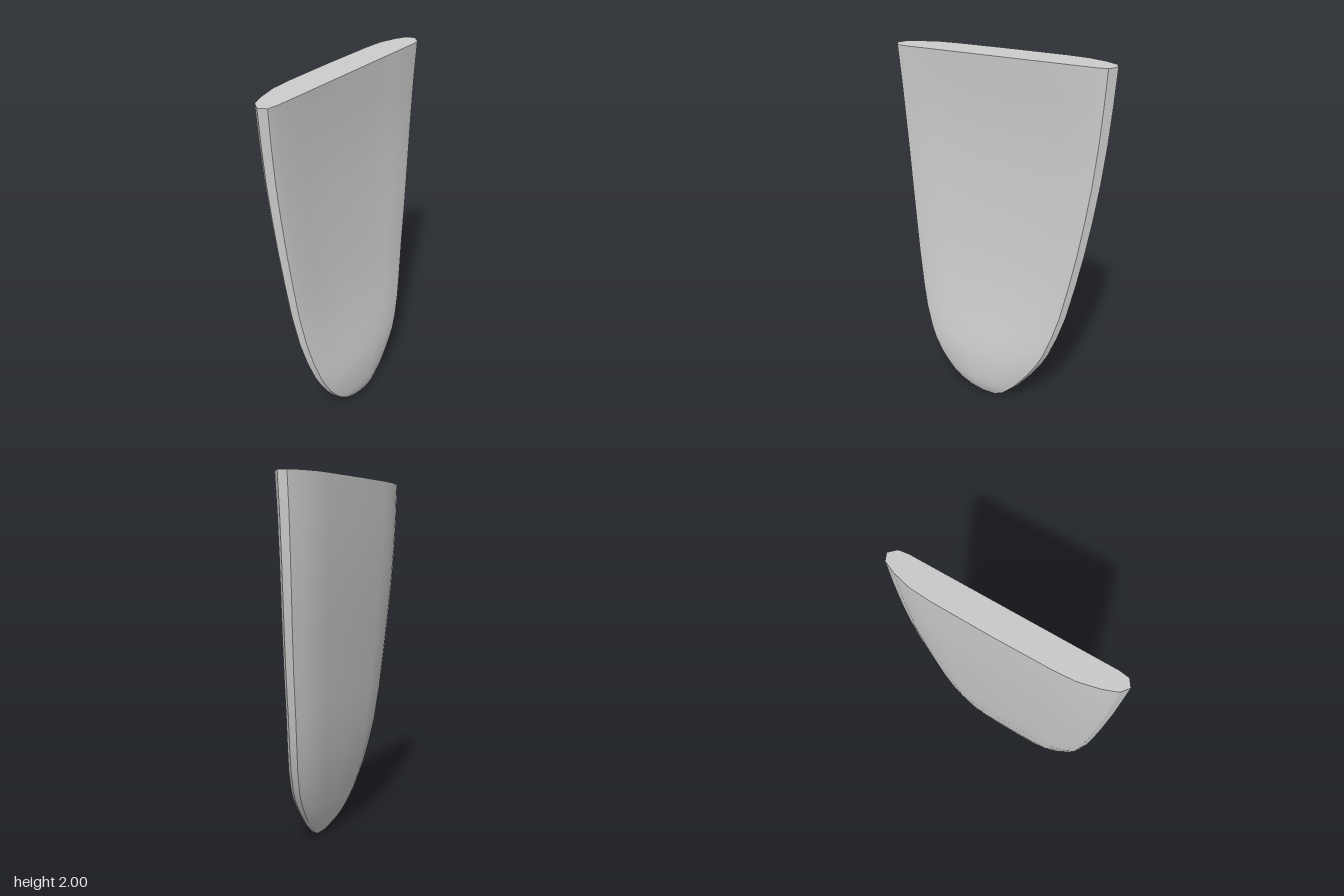
import * as THREE from 'three';
import { toCreasedNormals } from 'three/addons/utils/BufferGeometryUtils.js';

// Levels from top to tip: y, z centre, half depth, x of flat face, thickness,
// swell of the face's middle (negative is dished)
const LEVELS = [
  [2.0, 0, 0.615, 0.027, 0.154, 0],
  [1.8, 0, 0.602, 0.023, 0.148, -0.006],
  [1.6, 0, 0.587, 0.024, 0.142, -0.011],
  [1.4, 0, 0.568, 0.03, 0.138, -0.013],
  [1.2, 0.002, 0.546, 0.04, 0.133, -0.013],
  [1.0, 0.005, 0.52, 0.052, 0.129, -0.011],
  [0.8, 0.01, 0.49, 0.066, 0.128, -0.007],
  [0.6, 0.012, 0.453, 0.086, 0.128, 0],
  [0.47, 0.014, 0.419, 0.104, 0.124, 0.006],
  [0.35, 0.015, 0.377, 0.119, 0.117, 0.012],
  [0.28, 0.017, 0.343, 0.127, 0.107, 0.016],
  [0.2, 0.02, 0.292, 0.131, 0.093, 0.018],
  [0.15, 0.02, 0.253, 0.132, 0.079, 0.017],
  [0.1, 0.018, 0.21, 0.132, 0.061, 0.016],
  [0.055, 0.014, 0.157, 0.131, 0.039, 0.014],
  [0.022, 0, 0.104, 0.129, 0.017, 0.004],
  [0, -0.015, 0.04, 0.125, 0.003, 0],
];
const YAW = 0.113; // sideways drift of each section along its depth

// Half of the D-shaped section: [depth, distance behind the flat face]
const HALF = [[0.865, 0], [0.95, 0.05], [1, 0.3], [0.96, 0.57], [0.85, 0.76], [0.68, 0.93], [0.5, 0.98]];
const SECTION = [
  ...HALF, [0, 1],
  ...HALF.map(([u, v]) => [-u, v]).reverse(),
  [-0.62, 0], [-0.31, 0], [0, 0], [0.31, 0], [0.62, 0],
];

function ring([y, zc, half, face, thick, swell]) {
  return SECTION.map(([u, v]) => {
    const z = zc + u * half;
    const lift = v === 0 ? swell * (1 - (u / 0.865) ** 4) : 0;
    const x = face + YAW * z - v * thick + lift;
    const tilt = y === 2 ? 0.055 * (x + 0.16) : 0; // top cut slopes slightly
    return [x, y - tilt, z];
  });
}

function bladeGeometry() {
  const n = SECTION.length;
  const rings = LEVELS.map(ring);
  const positions = rings.flat(2);
  const index = [];
  // Side skin
  for (let r = 0; r < rings.length - 1; r++) {
    for (let i = 0; i < n; i++) {
      const j = (i + 1) % n;
      const a = r * n + i, b = r * n + j;
      index.push(a, b, a + n, b, b + n, a + n);
    }
  }
  // Flat top and tiny tip cap
  const last = (rings.length - 1) * n;
  for (let i = 1; i < n - 1; i++) {
    index.push(0, i + 1, i);
    index.push(last, last + i, last + i + 1);
  }
  const geometry = new THREE.BufferGeometry();
  geometry.setAttribute('position', new THREE.Float32BufferAttribute(positions, 3));
  geometry.setIndex(index);
  return toCreasedNormals(geometry, 0.5);
}

export function createModel() {
  const group = new THREE.Group();
  group.name = 'taperedBlade';
  const blade = new THREE.Mesh(bladeGeometry(), new THREE.MeshStandardMaterial({ color: 0xcccccc }));
  blade.name = 'blade';
  group.add(blade);
  return group;
}
